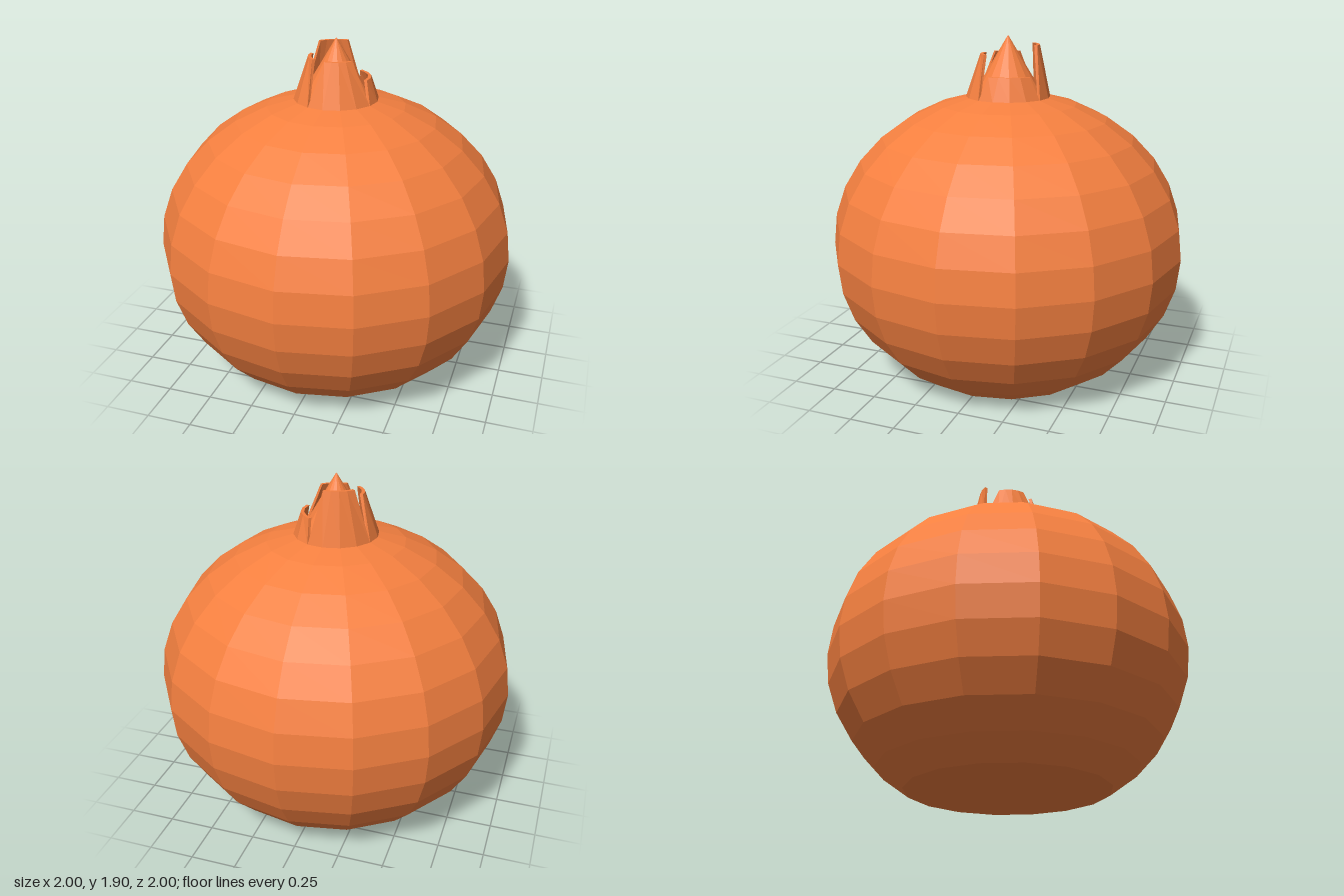
import * as THREE from 'three';

const skin = new THREE.MeshStandardMaterial({ color: 0xf58040, flatShading: true });
const rad = THREE.MathUtils.degToRad;
const BASE_Y = 1.56, BASE_R = 0.235, WALL = 0.018;

// Thin tapering sepal, swept around the crown as a four-cornered section
function sepalGeometry(from, to, topY, topR, inset, steps = 4) {
  const pos = [], index = [];
  const put = (r, y, deg) => pos.push(r * Math.cos(rad(deg)), y, r * Math.sin(rad(deg)));
  for (let i = 0; i <= steps; i++) {
    const t = i / steps;
    const low = THREE.MathUtils.lerp(from, to, t);
    const high = THREE.MathUtils.lerp(from + inset, to - inset, t);
    put(BASE_R - WALL, BASE_Y, low);
    put(BASE_R, BASE_Y, low);
    put(topR, topY, high);
    put(topR - WALL, topY, high);
  }
  const quad = (a, b, c, d) => index.push(a, b, c, a, c, d);
  for (let i = 0; i < steps; i++) {
    for (let j = 0; j < 4; j++) {
      const k = (j + 1) % 4;
      quad(i * 4 + j, i * 4 + k, i * 4 + 4 + k, i * 4 + 4 + j);
    }
  }
  const e = steps * 4;
  quad(0, 3, 2, 1);
  quad(e, e + 1, e + 2, e + 3);
  const geo = new THREE.BufferGeometry();
  geo.setAttribute('position', new THREE.Float32BufferAttribute(pos, 3));
  geo.setIndex(index);
  geo.computeVertexNormals();
  return geo;
}

export function createModel() {
  const model = new THREE.Group();
  model.name = 'fruit';
  const add = (name, geometry, parent = model) => {
    const mesh = new THREE.Mesh(geometry, skin);
    mesh.name = name;
    parent.add(mesh);
    return mesh;
  };

  // Faceted body: a squashed sphere cut flat at the bottom
  const profile = [new THREE.Vector2(0, 0)];
  for (let i = -5; i <= 8; i++) {
    const a = rad(i * 11.25);
    profile.push(new THREE.Vector2(Math.max(0, Math.cos(a)), Math.max(0, 0.723 + 0.87 * Math.sin(a))));
  }
  add('body', new THREE.LatheGeometry(profile, 16));

  // Crown: four sepals with notches between them, one of them broken short
  const crown = new THREE.Group();
  crown.name = 'crown';
  model.add(crown);
  const sepals = [
    ['frontSepal', 22.5, 1.8, 0.152, 16],
    ['rightSideSepal', 112.5, 1.8, 0.152, 16],
    ['backSepal', 202.5, 1.85, 0.174, 17],
    ['brokenSepal', 292.5, 1.69, 0.19, 9],
  ];
  for (const [name, start, topY, topR, inset] of sepals)
    add(name, sepalGeometry(start, start + 90, topY, topR, inset), crown);

  // Pointed centre and the flat seat it stands on
  const tip = add('centreCone', new THREE.ConeGeometry(0.205, 0.34, 16), crown);
  tip.position.y = BASE_Y + 0.17;
  const seat = add('crownBase', new THREE.CylinderGeometry(BASE_R, BASE_R, 0.02, 16), crown);
  seat.position.y = BASE_Y - 0.008;

  return model;
}
